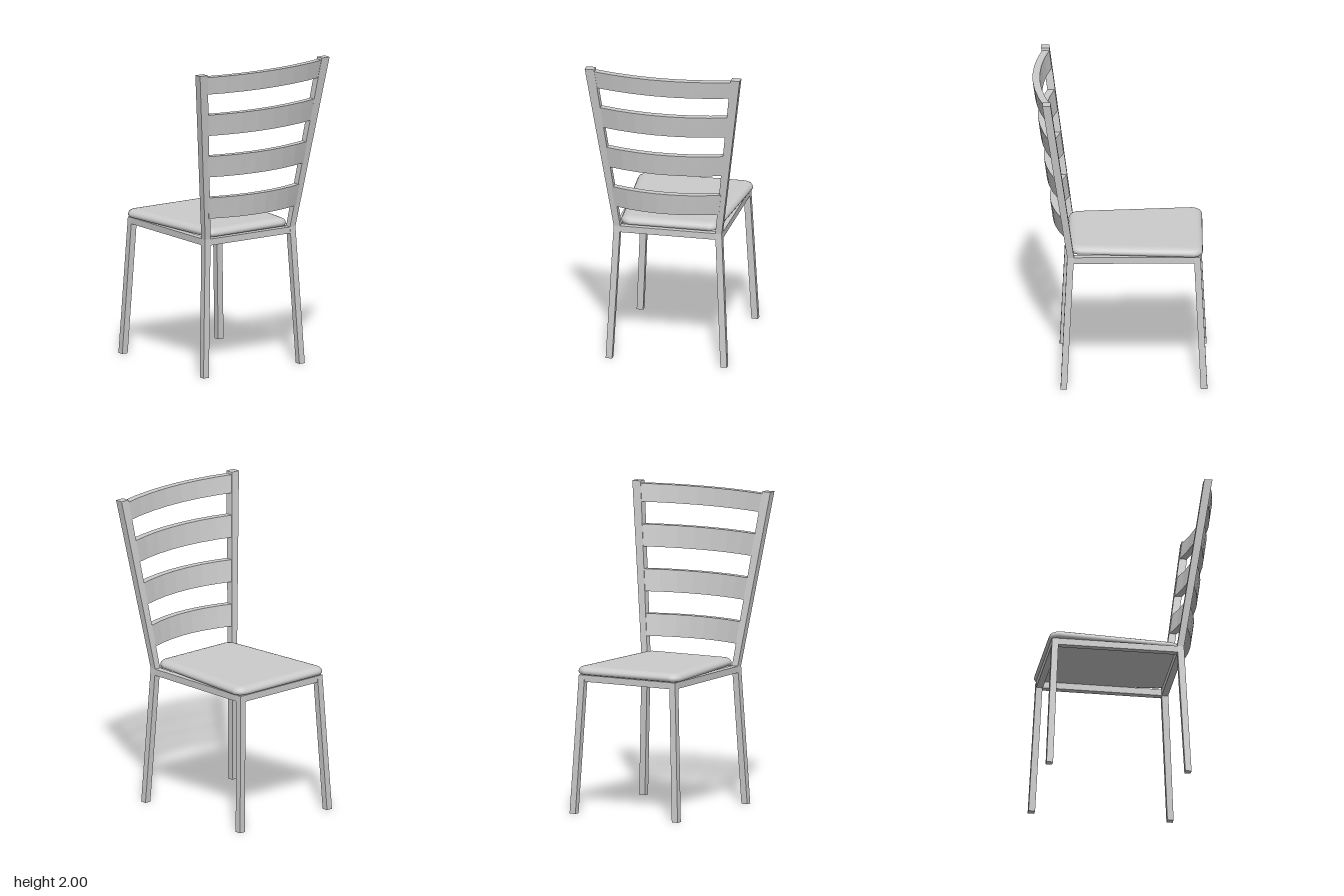
import * as THREE from 'three';

const grey = new THREE.MeshStandardMaterial({ color: 0xcccccc });
const lerp = THREE.MathUtils.lerp;

function addMesh(group, name, geometry) {
  const mesh = new THREE.Mesh(geometry, grey);
  mesh.name = name;
  group.add(mesh);
}

// Straight bar whose ends are level rectangles: { y, x: [min, max], z: [min, max] }
function taperedBar(low, high) {
  const geo = new THREE.BoxGeometry(1, 1, 1);
  const p = geo.attributes.position;
  for (let i = 0; i < p.count; i++) {
    const end = p.getY(i) < 0 ? low : high;
    p.setXYZ(i, end.x[p.getX(i) < 0 ? 0 : 1], end.y, end.z[p.getZ(i) < 0 ? 0 : 1]);
  }
  geo.computeVertexNormals();
  return geo;
}

const rect = (y, x, z, side) => ({ y, x, z: side > 0 ? z : [-z[1], -z[0]] });

// Ladder slat: bowed backwards in flat facets, leaning and widening with the posts
function bowedSlat(y0, y1) {
  const segments = 7;
  const flat = new THREE.BoxGeometry(1, 1, 1, 1, 1, segments).toNonIndexed();
  const p = flat.attributes.position;
  for (let i = 0; i < p.count; i++) {
    const y = p.getY(i) < 0 ? y0 : y1;
    const t = (y - 0.89) / 1.11;
    const s = p.getZ(i) * 2;
    const x = lerp(0.29, 0.44, t) + 0.067 * (1 - s * s) + (p.getX(i) > 0 ? 0.046 : 0);
    p.setXYZ(i, x, y, s * lerp(0.322, 0.457, t));
  }
  flat.computeVertexNormals();
  return flat;
}

// Padded seat: rounded trapezoid outlines stacked along an edge profile, closed by fans
function cushionGeometry() {
  const radius = 0.07, steps = 8;
  const corners = [[0.25, 0.25], [-0.46, 0.305], [-0.46, -0.305], [0.25, -0.25]];
  const profile = [ // inset, height
    [0.025, 0.89], [0.008, 0.896], [0, 0.908], [0.002, 0.92],
    [0.01, 0.932], [0.024, 0.94], [0.042, 0.944], [0.06, 0.945],
  ];
  const n = corners.length * (steps + 1);
  const pos = [], index = [];
  for (const [inset, y] of profile) {
    corners.forEach(([cx, cz], c) => {
      for (let k = 0; k <= steps; k++) {
        const a = (c + k / steps) * Math.PI / 2;
        const r = radius - inset;
        pos.push(cx + r * Math.cos(a), y, cz + r * Math.sin(a));
      }
    });
  }
  const last = (profile.length - 1) * n;
  const bottom = profile.length * n, top = bottom + 1;
  pos.push(-0.1, 0.89, 0, -0.1, 0.945, 0);
  for (let i = 0; i < n; i++) {
    const j = (i + 1) % n;
    for (let k = 0; k < last; k += n) {
      index.push(k + i, k + n + i, k + j, k + j, k + n + i, k + n + j);
    }
    index.push(bottom, i, j, top, last + j, last + i);
  }
  const geo = new THREE.BufferGeometry();
  geo.setAttribute('position', new THREE.Float32BufferAttribute(pos, 3));
  geo.setIndex(index);
  geo.computeVertexNormals();
  return geo;
}

export function createModel() {
  const chair = new THREE.Group();
  chair.name = 'chair';

  // Splayed legs, back posts and side rails, mirrored across z
  for (const side of [1, -1]) {
    const footZ = [0.353, 0.395], seatZ = [0.31, 0.352];
    addMesh(chair, 'frontLeg', taperedBar(
      rect(0, [-0.558, -0.516], footZ, side), rect(0.89, [-0.515, -0.473], seatZ, side)));
    addMesh(chair, 'rearLeg', taperedBar(
      rect(0, [0.335, 0.375], footZ, side), rect(0.89, [0.29, 0.333], seatZ, side)));
    addMesh(chair, 'backPost', taperedBar(
      rect(0.89, [0.29, 0.333], seatZ, side), rect(2, [0.44, 0.492], [0.445, 0.505], side)));
    addMesh(chair, 'sideRail', taperedBar(
      rect(0.848, [-0.5, 0.32], seatZ, side), rect(0.89, [-0.5, 0.32], seatZ, side)));
  }

  // Front and rear seat rails
  for (const [name, x] of [['frontRail', [-0.515, -0.473]], ['rearRail', [0.291, 0.333]]]) {
    const z = [-0.33, 0.33];
    addMesh(chair, name, taperedBar({ y: 0.848, x, z }, { y: 0.89, x, z }));
  }

  // Four ladder slats
  for (const [y0, y1] of [[1.03, 1.17], [1.31, 1.45], [1.59, 1.73], [1.87, 1.985]]) {
    addMesh(chair, 'backSlat', bowedSlat(y0, y1));
  }

  addMesh(chair, 'seatCushion', cushionGeometry());
  return chair;
}
